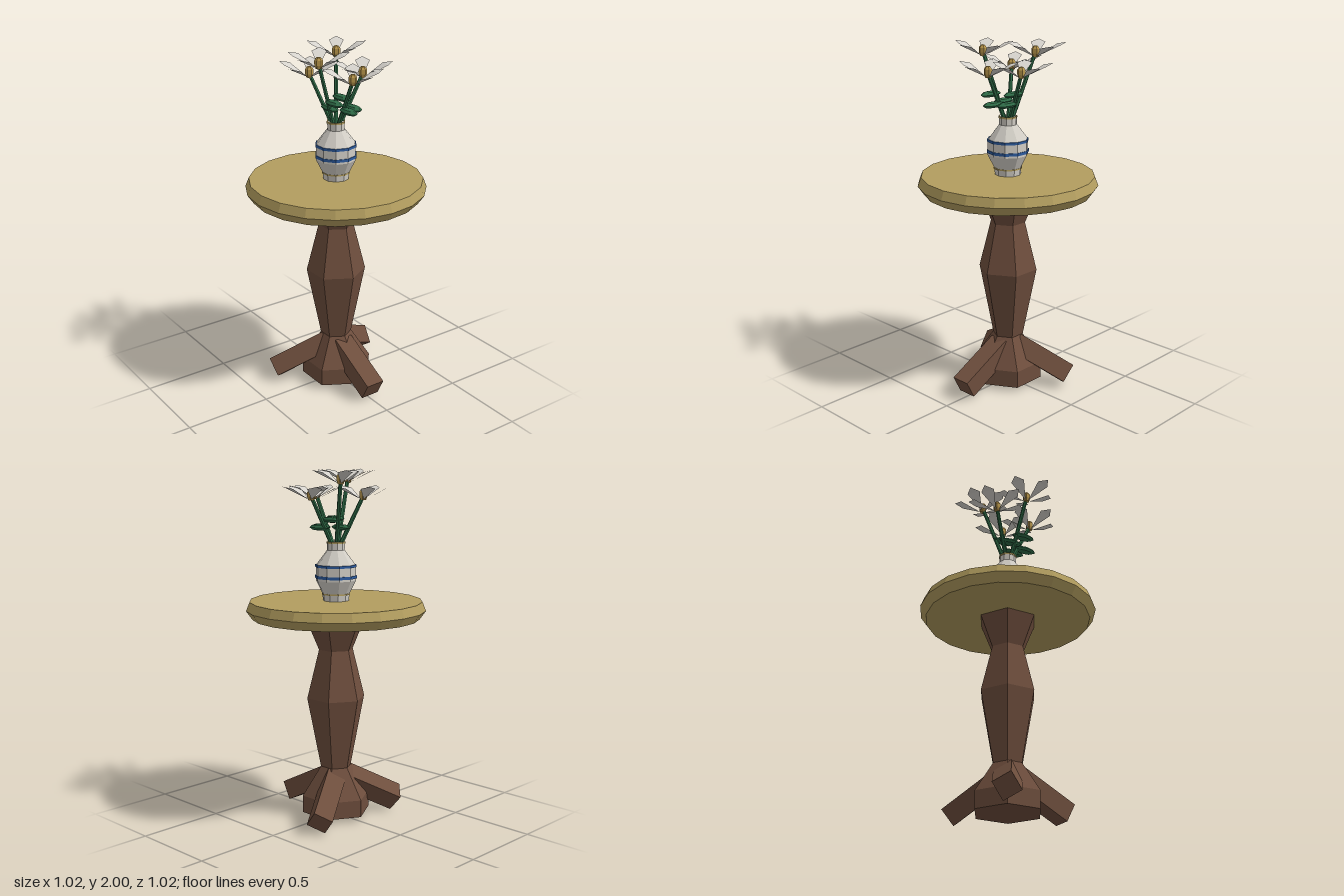
import * as THREE from 'three';

const paint = (name, color, extra = {}) => {
  const m = new THREE.MeshStandardMaterial({ color, flatShading: true, ...extra });
  m.name = name;
  return m;
};

export function createModel() {
  const model = new THREE.Group();
  const wood = paint('darkWood', 0x6e4e3d);
  const gold = paint('paleGold', 0xb29d5f);
  const china = paint('china', 0xd2cec6);
  const blue = paint('blueGlaze', 0x2d5ca0);
  const green = paint('leafGreen', 0x2f6b47);
  const white = paint('petalWhite', 0xd6d3cd, { side: THREE.DoubleSide });
  const pollen = paint('pollen', 0xb8964c);
  const UP = new THREE.Vector3(0, 1, 0);

  const add = (name, geo, mat, parent = model) => {
    const mesh = new THREE.Mesh(geo, mat);
    mesh.name = name;
    parent.add(mesh);
    return mesh;
  };
  // Faceted turned part with a corner on the x axis
  const turned = (name, profile, sides, mat, parent) => add(name,
    new THREE.LatheGeometry(profile.map(([r, y]) => new THREE.Vector2(r, y)), sides).rotateY(Math.PI / 2),
    mat, parent);
  // Lay a geometry built along y between two points
  const between = (name, a, b, make, mat, parent) => {
    const d = b.clone().sub(a);
    const mesh = add(name, make(d.length()), mat, parent);
    mesh.position.copy(a).addScaledVector(d, 0.5);
    mesh.quaternion.setFromUnitVectors(UP, d.normalize());
    return mesh;
  };
  const polar = (r, angle, y) => new THREE.Vector3(r * Math.cos(angle), y, r * Math.sin(angle));

  // Table
  turned('tableTop', [[0, 1.17], [0.475, 1.17], [0.51, 1.22], [0.49, 1.27], [0, 1.27]], 20, gold);
  turned('pedestal', [[0, 0.03], [0.2, 0.03], [0.2, 0.13], [0.09, 0.3], [0.17, 0.71],
    [0.1, 0.99], [0.18, 1.18], [0, 1.18]], 6, wood);
  for (let i = 0; i < 3; i++) {
    const a = i * Math.PI * 2 / 3;
    between('foot', polar(0.05, a, 0.235), polar(0.365, a, 0.072),
      len => new THREE.BoxGeometry(0.113, len, 0.113), wood);
  }

  // Vase with an open mouth and painted bands
  const vase = new THREE.Group();
  vase.name = 'vase';
  model.add(vase);
  turned('vaseBody', [[0, 1.265], [0.073, 1.265], [0.078, 1.31], [0.115, 1.385], [0.114, 1.47],
    [0.05, 1.555], [0.05, 1.6], [0.036, 1.6], [0.036, 1.57], [0, 1.57]], 10, china, vase);
  const band = (name, r, y, h, mat) => turned(name,
    [[r - 0.006, y - h / 2], [r, y - h / 2], [r, y + h / 2], [r - 0.006, y + h / 2]], 10, mat, vase);
  band('upperBand', 0.118, 1.467, 0.014, blue);
  band('lowerBand', 0.119, 1.405, 0.016, blue);
  band('footTrim', 0.081, 1.308, 0.008, gold);
  band('rimTrim', 0.053, 1.597, 0.01, gold);

  // Petal: a kite rising outwards, slightly bent at its widest part
  const petal = new THREE.BufferGeometry();
  petal.setAttribute('position', new THREE.Float32BufferAttribute(
    [0.015, 0, 0, 0.13, 0.06, 0.041, 0.173, 0.072, 0, 0.13, 0.06, -0.041], 3));
  petal.setIndex([0, 1, 3, 1, 2, 3]);
  petal.computeVertexNormals();

  // Five stems, alternately short and tall, each with a leaf and a flower
  for (let i = 0; i < 5; i++) {
    const a = i * Math.PI * 2 / 5;
    const tall = i % 2 === 1;
    const headY = tall ? 1.928 : 1.838;
    const head = polar(0.153, a, headY);
    between('stem', polar(0.018, a, 1.57), polar(0.145, a, headY),
      len => new THREE.CylinderGeometry(0.011, 0.013, len, 6), green);

    const leaf = add('leaf', new THREE.SphereGeometry(1, 8, 4).scale(0.075, 0.018, 0.032), green);
    leaf.position.copy(polar(0.066, a, tall ? 1.725 : 1.68));
    leaf.position.x += 0.05;

    const flower = new THREE.Group();
    flower.name = 'flower';
    flower.position.copy(head);
    model.add(flower);
    turned('flowerCentre', [[0, -0.005], [0.016, -0.005], [0.023, 0.015], [0.023, 0.04],
      [0.012, 0.055], [0, 0.058]], 6, pollen, flower);
    for (let k = 0; k < 5; k++) {
      add('petal', petal, white, flower).rotation.y = -k * Math.PI * 2 / 5;
    }
  }
  return model;
}
